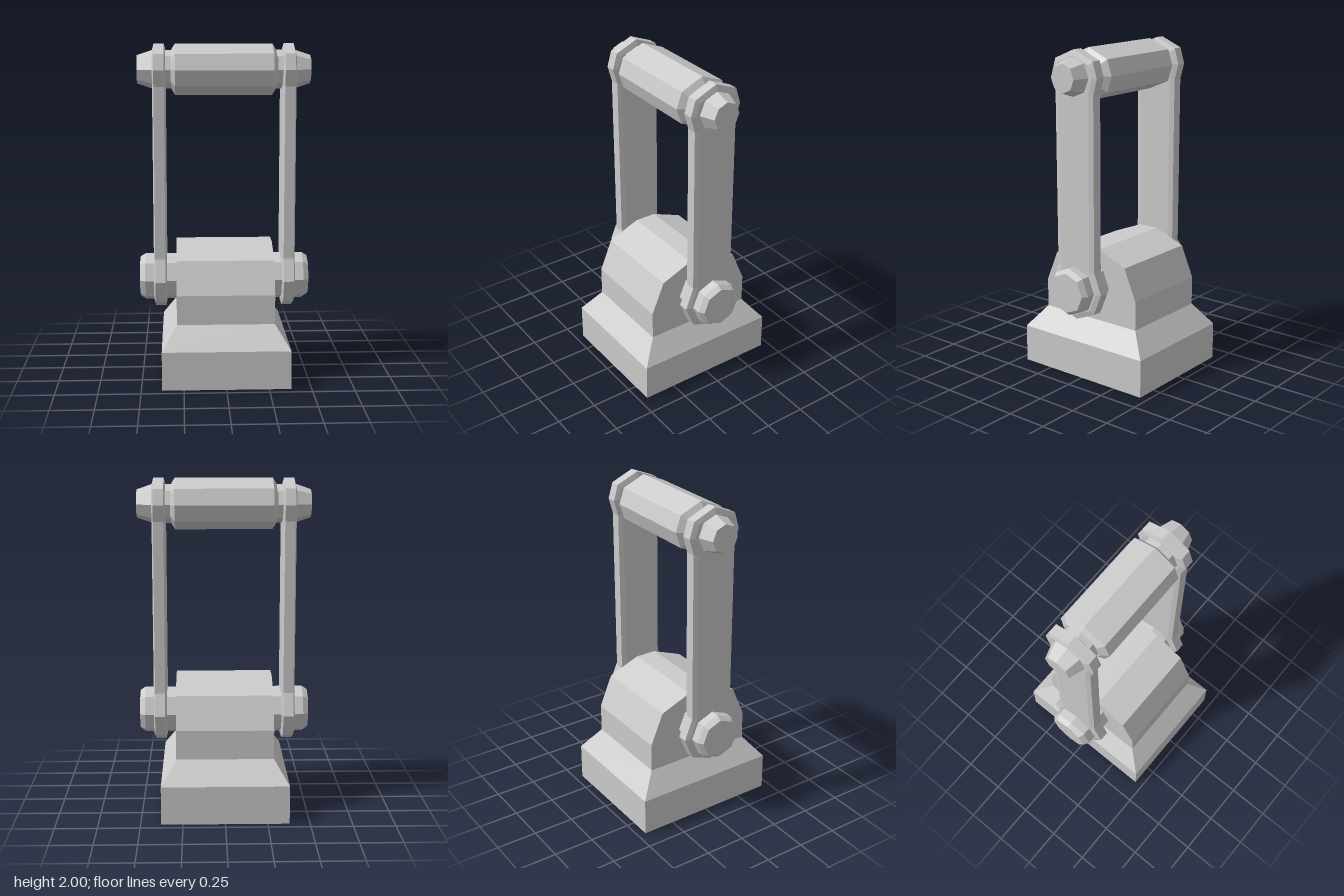
import * as THREE from 'three';

const grey = new THREE.MeshStandardMaterial({ color: 0xcccccc, flatShading: true });

// Mirror a half outline of [z, y] points across z = 0 (given top to bottom)
function symmetricShape(half) {
  const other = half.filter(([z]) => z > 0).reverse().map(([z, y]) => [-z, y]);
  return new THREE.Shape([...half, ...other].reverse().map(([z, y]) => new THREE.Vector2(z, y)));
}

// Extrude a side outline along x from x0 to x1, with an inward bevel
function sidePlate(half, x0, x1, bevelX = 0, bevelIn = 0) {
  const geo = new THREE.ExtrudeGeometry(symmetricShape(half), {
    depth: x1 - x0 - 2 * bevelX,
    bevelEnabled: bevelX > 0,
    bevelThickness: bevelX,
    bevelSize: bevelIn,
    bevelOffset: -bevelIn,
    bevelSegments: 1,
  });
  return geo.translate(0, 0, x0 + bevelX).rotateY(Math.PI / 2);
}

// Eight-sided turned part along x, from [radius, x] points
function turned(points, y) {
  const pts = points.map(([r, x]) => new THREE.Vector2(r, x));
  return new THREE.LatheGeometry(pts, 8).rotateZ(-Math.PI / 2).translate(0, y, 0);
}

export function createModel() {
  const model = new THREE.Group();
  const add = (name, geo) => {
    const mesh = new THREE.Mesh(geo, grey);
    mesh.name = name;
    model.add(mesh);
    return mesh;
  };
  const lowY = 0.583, highY = 1.847;

  // Foot block and its sloping shoulder
  add('baseBlock', new THREE.BoxGeometry(0.758, 0.23, 0.9).translate(0, 0.115, 0));
  const shoulder = new THREE.BoxGeometry(0.758, 0.135, 0.9);
  const p = shoulder.attributes.position;
  for (let i = 0; i < p.count; i++) {
    if (p.getY(i) > 0) p.setXYZ(i, Math.sign(p.getX(i)) * 0.29, p.getY(i), Math.sign(p.getZ(i)) * 0.343);
  }
  add('baseShoulder', shoulder.translate(0, 0.2975, 0));

  // Domed pivot housing
  add('pivotHousing', sidePlate(
    [[0.066, 0.81], [0.262, 0.732], [0.343, 0.54], [0.343, 0.36]], -0.29, 0.29));

  // Grip bar with chamfered ends, and the spindle through it
  add('gripBar', sidePlate(
    [[0, 2], [0.138, 1.942], [0.17, highY], [0.138, 1.752], [0, 1.693]], -0.317, 0.317, 0.026, 0.04));
  add('gripSpindle', turned(
    [[0, -0.518], [0.084, -0.518], [0.115, -0.425], [0.115, 0.425], [0.084, 0.518], [0, 0.518]], highY));

  // Pivot pin with chamfered ends
  add('pivotPin', turned(
    [[0, -0.512], [0.122, -0.512], [0.143, -0.48], [0.143, 0.48], [0.122, 0.512], [0, 0.512]], lowY));

  // Side arms with a rounded eye at each end
  const arm = [[0, 2], [0.138, 1.942], [0.167, highY], [0.14, 1.75],
    [0.138, 0.715], [0.188, lowY], [0.133, 0.45], [0, 0.396]];
  add('leftArm', sidePlate(arm, 0.348, 0.427, 0.009, 0.03));
  add('rightArm', sidePlate(arm, -0.427, -0.348, 0.009, 0.03));

  return model;
}
